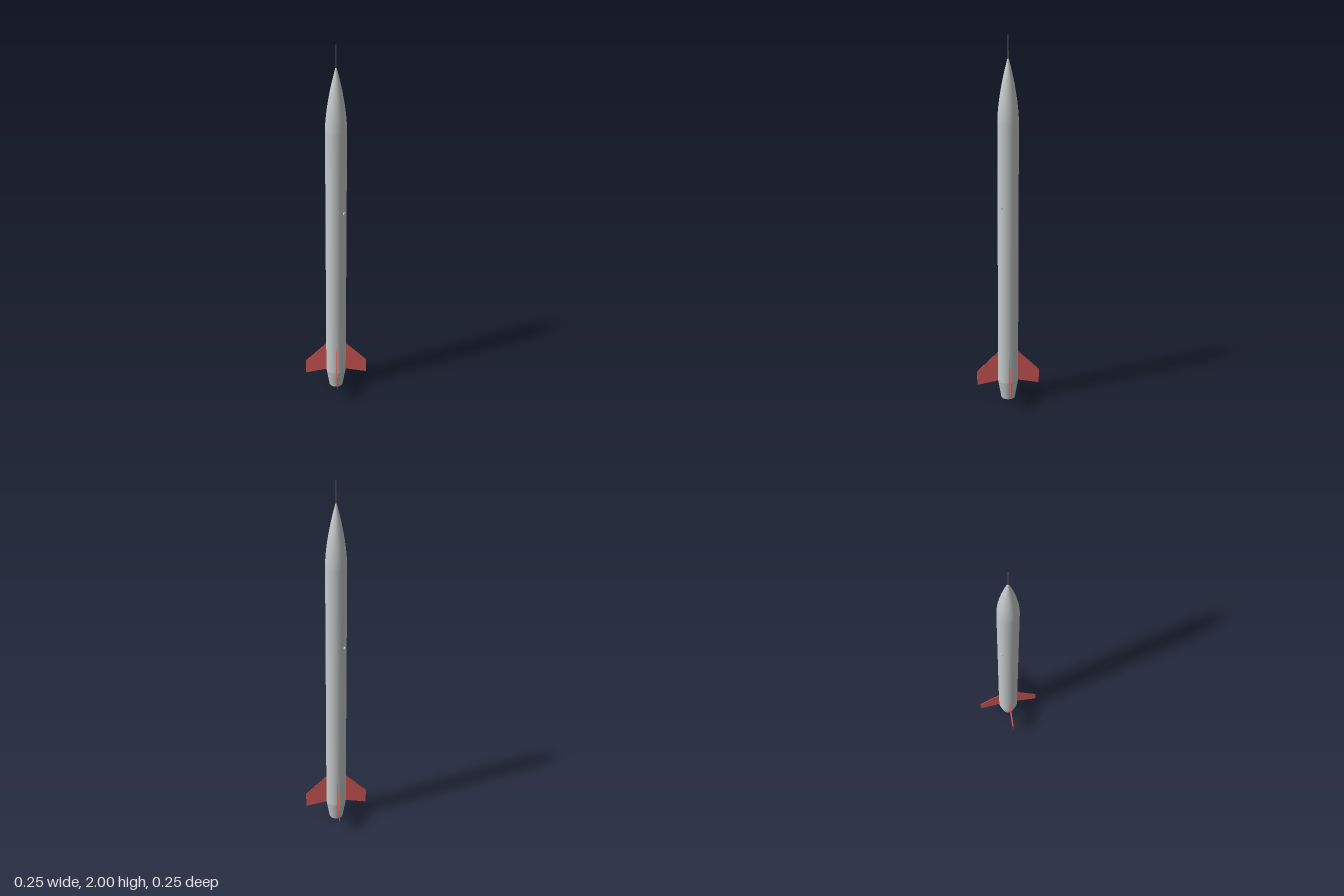
import * as THREE from 'three';

const R = 0.056;
const SIDES = 32;

export function createModel() {
  const rocket = new THREE.Group();
  rocket.name = 'soundingRocket';

  const skin = new THREE.MeshStandardMaterial({ name: 'pale grey', color: 0xc6caca });
  const red = new THREE.MeshStandardMaterial({ name: 'fin red', color: 0xd65a58 });
  const dark = new THREE.MeshStandardMaterial({ name: 'probe grey', color: 0x5a5a66 });

  const add = (name, geometry, material, parent = rocket) => {
    const mesh = new THREE.Mesh(geometry, material);
    mesh.name = name;
    parent.add(mesh);
    return mesh;
  };
  // Profiles run upwards as [radius, height]
  const lathe = (name, points, material) =>
    add(name, new THREE.LatheGeometry(points.map(([r, y]) => new THREE.Vector2(r, y)), SIDES), material);

  // Tapered tail with a hollow nozzle
  lathe('tailCone', [[0.038, 0], [R, 0.105]], skin);
  lathe('nozzleRim', [[0.031, 0], [0.038, 0]], skin);
  lathe('nozzleWall', [[0.024, 0.05], [0.031, 0]], skin);
  lathe('nozzleEnd', [[0, 0.05], [0.024, 0.05]], skin);

  // Body sections between the joints
  const joints = [0.105, 0.36, 0.75, 0.91, 1.155, 1.56];
  for (let i = 0; i < joints.length - 1; i++) {
    lathe('bodySection' + (i + 1), [[R, joints[i]], [R, joints[i + 1]]], skin);
  }

  // Curved nose and its probe
  const nose = [];
  for (let i = 0; i <= 14; i++) {
    const t = i / 14;
    nose.push([0.003 + (R - 0.003) * (1 - Math.pow(t, 1.65)), 1.56 + 0.325 * t]);
  }
  lathe('noseCone', nose, skin);
  const probe = add('noseProbe', new THREE.CylinderGeometry(0.003, 0.0035, 0.12, 10), dark);
  probe.position.y = 1.94;

  // Small lugs on both sides
  for (const side of [-1, 1]) {
    const lug = add('sideLug', new THREE.CylinderGeometry(0.008, 0.008, 0.012, 12), skin);
    lug.rotation.z = Math.PI / 2;
    lug.position.set(side * 0.057, 1.11, 0);
  }

  // Four swept fins set on the diagonals
  const outline = [[0.05, 0.102], [0.173, 0.079], [0.173, 0.16], [0.05, 0.28]];
  const finShape = new THREE.Shape(outline.map(([x, y]) => new THREE.Vector2(x, y)));
  const finGeometry = new THREE.ExtrudeGeometry(finShape, { depth: 0.003, bevelEnabled: false });
  finGeometry.translate(0, 0, -0.0015);
  for (let i = 0; i < 4; i++) {
    add('fin' + (i + 1), finGeometry, red).rotation.y = Math.PI / 4 + i * Math.PI / 2;
  }

  return rocket;
}
